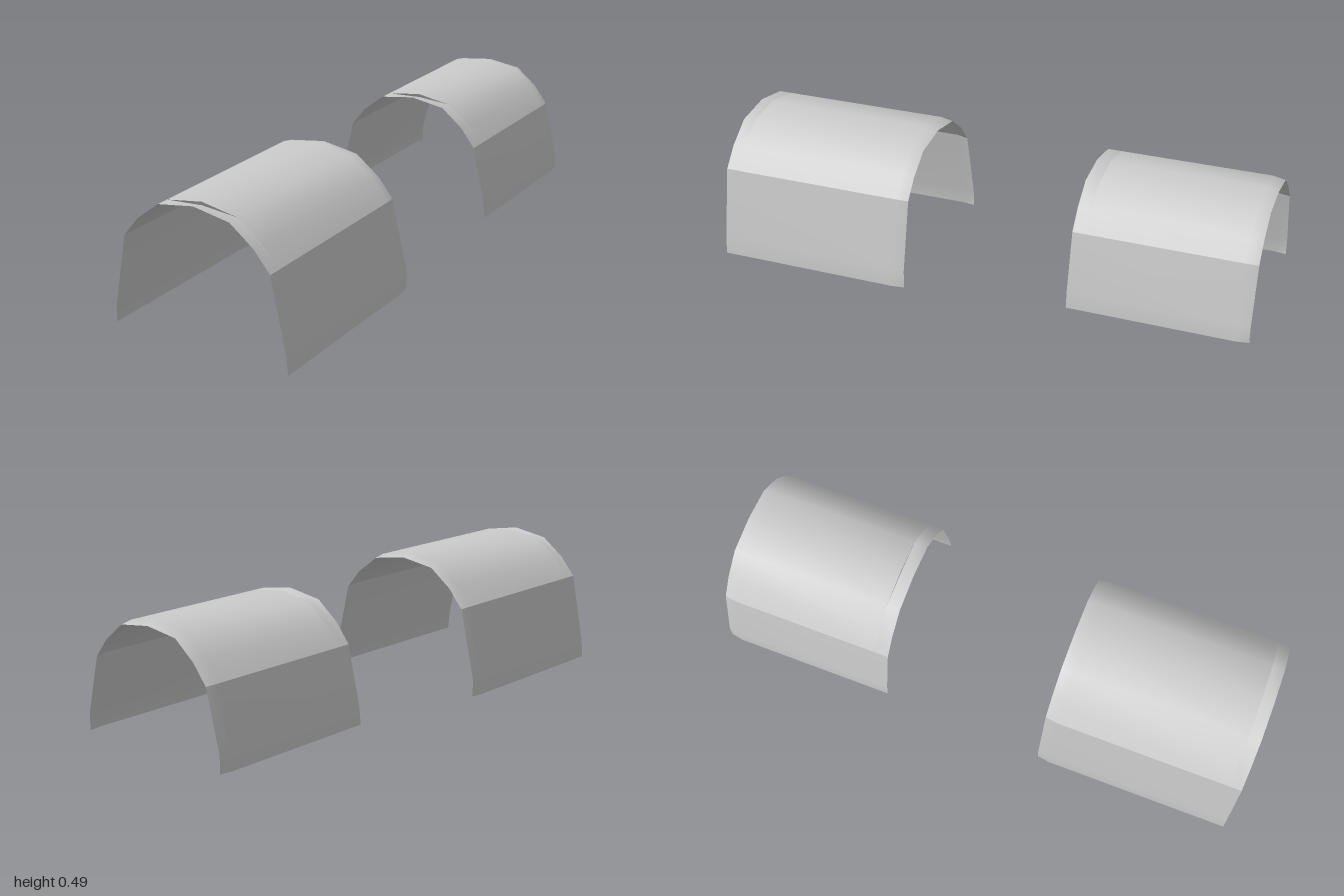
import * as THREE from 'three';

const material = new THREE.MeshStandardMaterial({ color: 0xcccccc, side: THREE.DoubleSide });

// Skins a list of cross-sections, each { z, points: [[x, y], ...] }, with z increasing.
function loft(name, sections) {
  const n = sections[0].points.length;
  const positions = sections.flatMap(({ z, points }) => points.flatMap(([x, y]) => [x, y, z]));
  const index = [];
  for (let s = 0; s < sections.length - 1; s++) {
    for (let i = 0; i < n - 1; i++) {
      const a = s * n + i, b = a + 1, c = a + n, d = c + 1;
      index.push(a, c, b, b, c, d);
    }
  }
  const geometry = new THREE.BufferGeometry();
  geometry.setAttribute('position', new THREE.Float32BufferAttribute(positions, 3));
  geometry.setIndex(index);
  geometry.computeVertexNormals();
  const mesh = new THREE.Mesh(geometry, material);
  mesh.name = name;
  return mesh;
}

// Mirrors a half profile (crown to eave, +x side) into a full one running from -x to +x.
const mirrored = (half) => [...half.slice(1).reverse().map(([x, y]) => [-x, y]), ...half];

function createShell(name, { outer, tucked, back, bevel, step, front }) {
  const shell = new THREE.Group();
  shell.name = name;
  const crown = 4; // the first four points form the curved roof, the rest the wall

  // Curved roof, tucked in at its back end
  shell.add(loft('roof', [
    { z: back, points: mirrored(tucked.slice(0, crown)) },
    { z: bevel, points: mirrored(outer.slice(0, crown)) },
    { z: step, points: mirrored(outer.slice(0, crown)) },
  ]));

  // Front lip, dipping under the roof at the crown
  const dipped = outer.slice(0, crown).map(([x, y], i) => [x, i === 0 ? y - 0.012 : y]);
  shell.add(loft('frontLip', [
    { z: step, points: mirrored(dipped) },
    { z: front, points: mirrored(outer.slice(0, crown)) },
  ]));

  // Steep side walls
  for (const side of [1, -1]) {
    const wall = (half) => {
      const points = half.slice(crown - 1).map(([x, y]) => [side * x, y]);
      return side > 0 ? points : points.reverse();
    };
    shell.add(loft(side > 0 ? 'leftWall' : 'rightWall', [
      { z: back, points: wall(tucked) },
      { z: bevel, points: wall(outer) },
      { z: front, points: wall(outer) },
    ]));
  }
  return shell;
}

export function createModel() {
  const model = new THREE.Group();
  model.name = 'archedCovers';

  // Larger cover at the front
  model.add(createShell('frontCover', {
    outer: [[0, 0.492], [0.14, 0.469], [0.229, 0.401], [0.289, 0.329], [0.342, 0.066], [0.348, 0]],
    tucked: [[0, 0.482], [0.136, 0.461], [0.223, 0.395], [0.281, 0.325], [0.341, 0.066], [0.341, 0]],
    back: 0.265, bevel: 0.31, step: 0.955, front: 1,
  }));

  // Smaller cover at the back
  model.add(createShell('backCover', {
    outer: [[0, 0.472], [0.133, 0.452], [0.216, 0.386], [0.271, 0.317], [0.32, 0.103], [0.326, 0.042]],
    tucked: [[0, 0.462], [0.129, 0.445], [0.21, 0.381], [0.264, 0.314], [0.318, 0.103], [0.318, 0.042]],
    back: -1, bevel: -0.955, step: -0.4, front: -0.35,
  }));

  return model;
}
